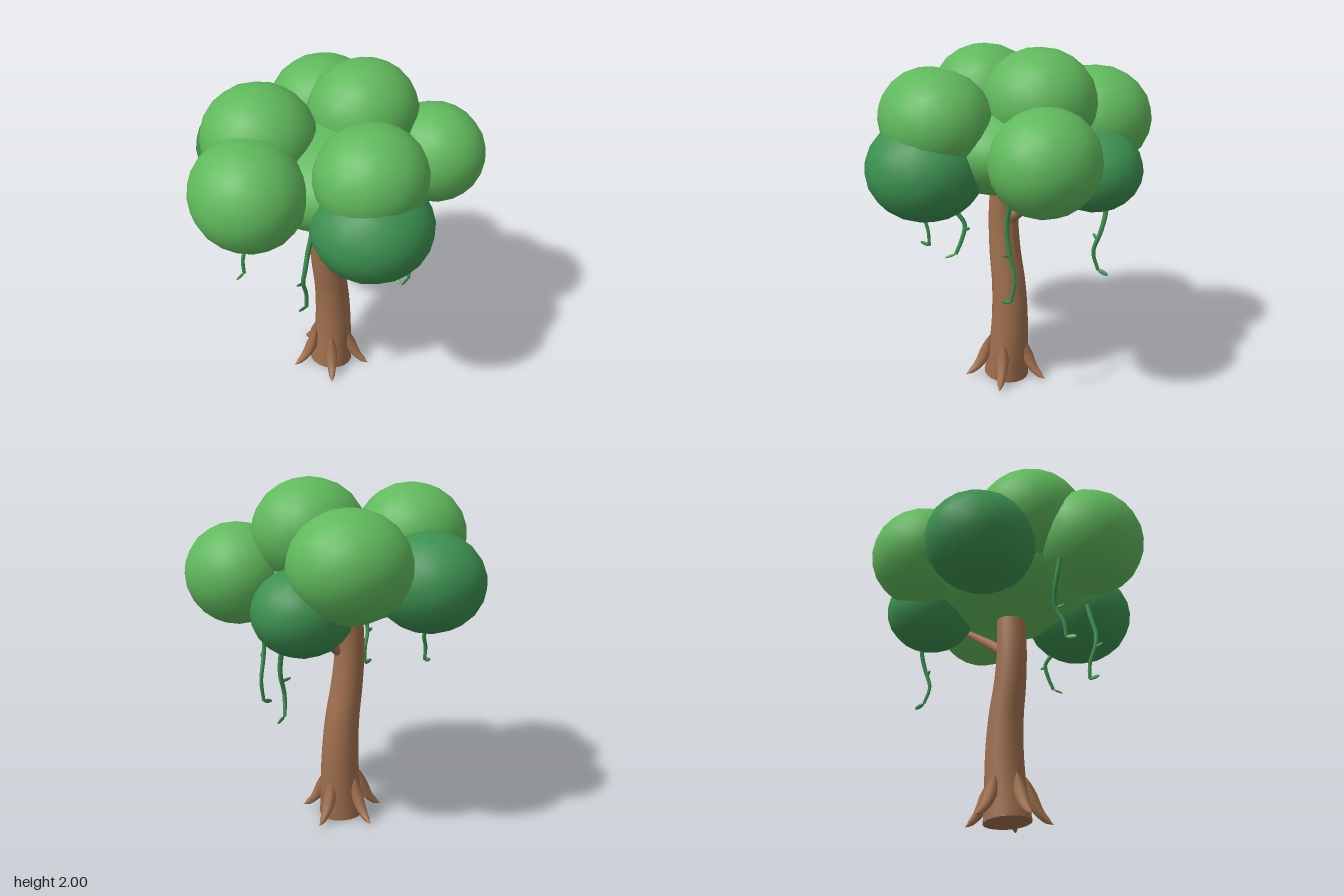
import * as THREE from 'three';

const material = (name, color) => {
  const m = new THREE.MeshStandardMaterial({ color });
  m.name = name;
  return m;
};
const V = (p) => new THREE.Vector3(...p);

// Tube along a smooth path whose radius follows evenly spaced values
function taperedTube(curve, radii, segments, sides) {
  const geo = new THREE.TubeGeometry(curve, segments, 1, sides, false);
  const pos = geo.attributes.position;
  const p = new THREE.Vector3();
  for (let i = 0; i <= segments; i++) {
    const centre = curve.getPointAt(i / segments);
    const t = (i / segments) * (radii.length - 1);
    const k = Math.min(Math.floor(t), radii.length - 2);
    const r = THREE.MathUtils.lerp(radii[k], radii[k + 1], t - k);
    for (let j = 0; j <= sides; j++) {
      const n = i * (sides + 1) + j;
      p.fromBufferAttribute(pos, n).sub(centre).multiplyScalar(r).add(centre);
      pos.setXYZ(n, p.x, p.y, p.z);
    }
  }
  return geo;
}

export function createModel() {
  const tree = new THREE.Group();
  tree.name = 'tree';
  const bark = material('bark brown', 0xa0704e);
  const light = material('light leaf green', 0x60b95c);
  const dark = material('dark leaf green', 0x3c9050);

  const add = (parent, name, geo, mat) => {
    const mesh = new THREE.Mesh(geo, mat);
    mesh.name = name;
    parent.add(mesh);
    return mesh;
  };
  const path = (points) => new THREE.CatmullRomCurve3(points.map(V));

  // Curved trunk with a closed foot
  const trunkPath = path([
    [0.05, 0.015, -0.018], [0.066, 0.2, -0.02], [0.07, 0.4, -0.025], [0.057, 0.6, -0.028],
    [0.025, 0.8, -0.03], [0.007, 1.0, -0.034], [0.012, 1.15, -0.035], [0.02, 1.26, -0.035],
  ]);
  add(tree, 'trunk', taperedTube(trunkPath, [0.134, 0.117, 0.109, 0.102, 0.095, 0.089, 0.085, 0.083], 24, 20), bark);
  const foot = add(tree, 'trunkFoot', new THREE.CircleGeometry(0.134, 20), bark);
  foot.position.copy(trunkPath.getPointAt(0));
  foot.lookAt(foot.position.clone().sub(trunkPath.getTangentAt(0)));

  // Side branch reaching into the canopy
  add(tree, 'branch', taperedTube(path([[0.04, 0.99, -0.025], [0.22, 1.125, -0.02], [0.43, 1.275, -0.015]]),
    [0.035, 0.028, 0.018], 6, 10), bark);

  // Five flared roots
  [57, 127, 196, 267, 340].forEach((deg) => {
    const a = THREE.MathUtils.degToRad(deg);
    const at = (r, y) => [0.05 + r * Math.cos(a), y, -0.02 + r * Math.sin(a)];
    const curve = path([at(0.1, 0.27), at(0.13, 0.16), at(0.175, 0.075), at(0.225, 0.028), at(0.25, 0.014)]);
    add(tree, 'root', taperedTube(curve, [0.001, 0.018, 0.03, 0.036, 0.034, 0.03, 0.024, 0.018, 0.001], 16, 8), bark);
  });

  // Canopy: centre, radii, colour
  const canopy = new THREE.Group();
  canopy.name = 'canopy';
  tree.add(canopy);
  const ball = new THREE.IcosahedronGeometry(1, 3);
  [
    ['canopyCore', [0.03, 1.46, 0.0], [0.5, 0.28, 0.5], light],
    ['leafClump', [-0.54, 1.525, 0.03], [0.3, 0.298, 0.32], light],
    ['leafClump', [-0.3, 1.67, -0.2], [0.312, 0.29, 0.315], light],
    ['leafClump', [0.275, 1.71, -0.025], [0.315, 0.29, 0.303], light],
    ['leafClump', [0.33, 1.575, -0.44], [0.325, 0.295, 0.32], light],
    ['leafClump', [-0.05, 1.62, 0.415], [0.302, 0.28, 0.292], light],
    ['leafClump', [0.56, 1.48, 0.255], [0.28, 0.28, 0.3], light],
    ['shadeClump', [-0.085, 1.375, 0.475], [0.325, 0.283, 0.323], dark],
    ['shadeClump', [0.485, 1.335, -0.25], [0.27, 0.235, 0.265], dark],
    ['shadeClump', [-0.18, 1.45, -0.48], [0.3, 0.277, 0.318], dark],
  ].forEach(([name, centre, radii, mat]) => {
    const clump = add(canopy, name, ball, mat);
    clump.position.set(...centre);
    clump.scale.set(...radii);
  });

  // Hanging vines: path, sideways directions of the mid and tip leaves, tip colour
  const leafGeo = new THREE.SphereGeometry(1, 8, 6);
  const addLeaf = (group, base, dir, size, mat) => {
    const d = V(dir).normalize();
    const stem = base.clone().addScaledVector(d, size * 0.9);
    const leaf = add(group, 'vineLeaf', leafGeo, mat);
    leaf.position.copy(stem);
    leaf.scale.set(size * 0.38, size, size * 0.2);
    leaf.quaternion.setFromUnitVectors(new THREE.Vector3(0, 1, 0), d);
  };
  [
    [[[-0.52, 1.32, -0.21], [-0.495, 1.22, -0.21], [-0.455, 1.11, -0.19], [-0.453, 1.05, -0.17],
      [-0.487, 0.97, -0.15], [-0.49, 0.89, -0.14]], [-1, 0.3, 0.4], [-1, -0.2, 0.2], light],
    [[[-0.32, 1.3, 0.27], [-0.345, 1.2, 0.27], [-0.372, 1.09, 0.275], [-0.373, 1.01, 0.26],
      [-0.342, 0.91, 0.245], [-0.338, 0.81, 0.24]], [-1, 0.3, 0.2], [-1, 0.15, 0.2], dark],
    [[[0.07, 1.27, 0.46], [0.1, 1.18, 0.44], [0.14, 1.1, 0.41], [0.137, 1.02, 0.43],
      [0.12, 0.94, 0.46]], [1, 0.4, 0.2], [-0.4, -0.2, 1], light],
    [[[0.4, 1.33, 0.335], [0.385, 1.23, 0.33], [0.36, 1.1, 0.32], [0.373, 0.96, 0.31],
      [0.4, 0.82, 0.3], [0.38, 0.69, 0.31]], [-0.3, 0.5, 1], [-1, -0.25, 0.1], dark],
    [[[0.58, 1.25, -0.23], [0.6, 1.12, -0.215], [0.59, 1.01, -0.19], [0.557, 0.89, -0.175],
      [0.575, 0.78, -0.2]], [-1, 0.4, -0.4], [1, -0.4, -0.3], dark],
  ].forEach(([points, midDir, tipDir, tipMat]) => {
    const vine = new THREE.Group();
    vine.name = 'vine';
    tree.add(vine);
    const curve = path(points);
    add(vine, 'vineStem', taperedTube(curve, [0.014, 0.014, 0.013, 0.012, 0.011, 0.01], 20, 6), dark);
    addLeaf(vine, curve.getPointAt(0.6), midDir, 0.028, dark);
    addLeaf(vine, curve.getPointAt(1), tipDir, 0.034, tipMat);
  });

  return tree;
}
